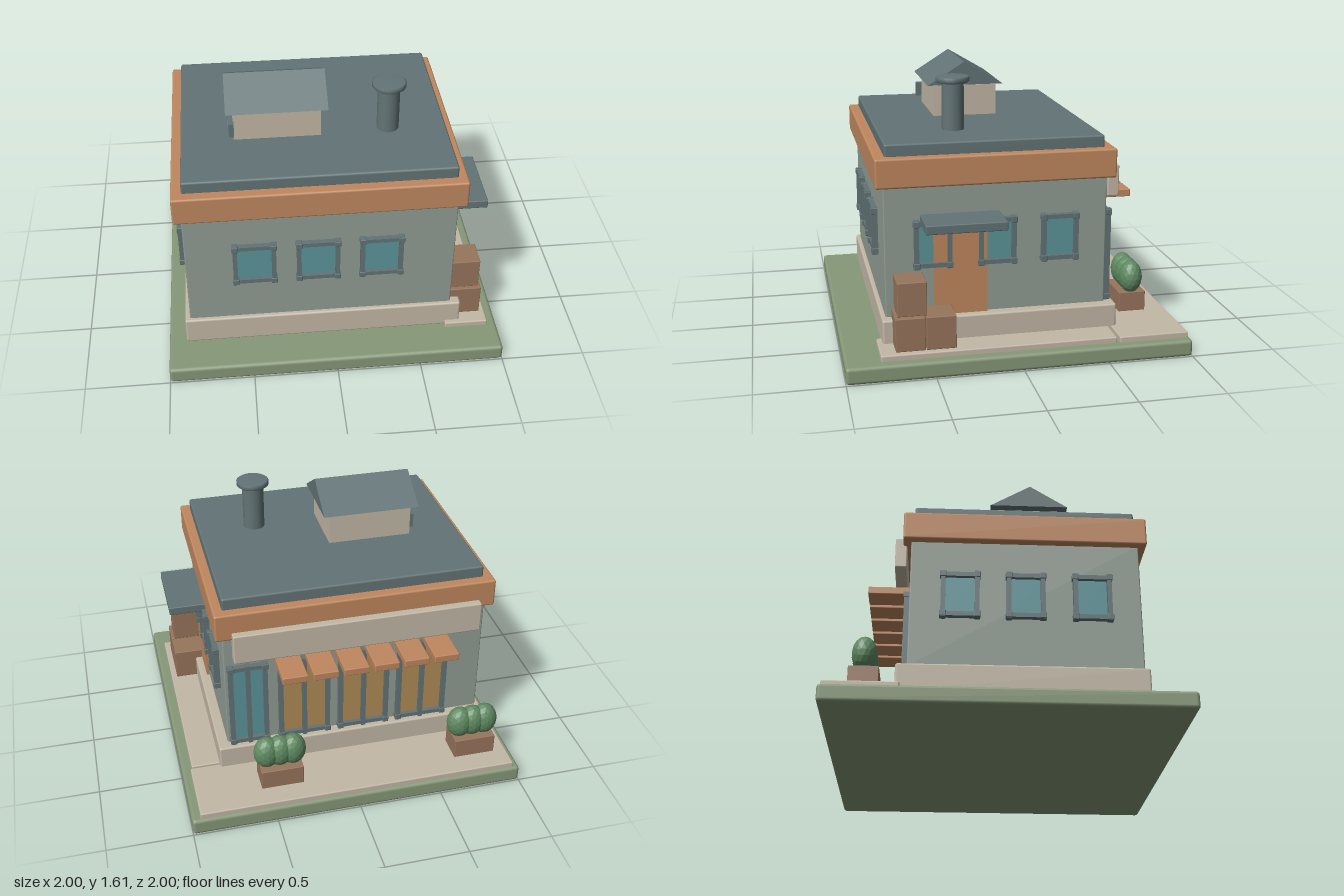
import * as THREE from 'three';
import { RoundedBoxGeometry } from 'three/addons/geometries/RoundedBoxGeometry.js';

const mat = (name, color, flatShading = false) => {
  const m = new THREE.MeshStandardMaterial({ color, flatShading });
  m.name = name;
  return m;
};

export function createModel() {
  const model = new THREE.Group();
  model.name = 'shop';
  const lawn = mat('lawnGreen', 0x869878);
  const wall = mat('wallSage', 0x919d93);
  const slate = mat('slate', 0x637476);
  const terracotta = mat('terracotta', 0xbf885f);
  const stone = mat('paleStone', 0xc3b8a6);
  const glass = mat('glassTeal', 0x5c959b);
  const amber = mat('amberPane', 0xb18b56);
  const wood = mat('woodBrown', 0x97755c);
  const leaf = mat('leafGreen', 0x5f8a62, true);

  const add = (name, geometry, material, parent = model) => {
    const mesh = new THREE.Mesh(geometry, material);
    mesh.name = name;
    parent.add(mesh);
    return mesh;
  };
  // Box from its two extreme corners, with optional rounded edges
  const block = (name, material, [x0, x1], [y0, y1], [z0, z1], r = 0, parent = model) => {
    const size = [x1 - x0, y1 - y0, z1 - z0];
    const geo = r ? new RoundedBoxGeometry(...size, 2, r) : new THREE.BoxGeometry(...size);
    const mesh = add(name, geo, material, parent);
    mesh.position.set((x0 + x1) / 2, (y0 + y1) / 2, (z0 + z1) / 2);
    return mesh;
  };

  // Ground and paving
  block('lawn', lawn, [-1, 1], [0, 0.1], [-1, 1], 0.02);
  block('backPaving', stone, [-0.96, 0.95], [0.09, 0.135], [-0.985, -0.575], 0.008);
  block('sidePaving', stone, [0.68, 0.94], [0.09, 0.133], [-0.56, 0.8], 0.008);

  // Main building
  block('plinth', stone, [-0.895, 0.77], [0.1, 0.27], [-0.605, 0.77], 0.012);
  block('walls', wall, [-0.865, 0.71], [0.26, 1.05], [-0.545, 0.745], 0.008);
  block('cornice', terracotta, [-0.91, 0.755], [1.03, 1.2], [-0.59, 0.79], 0.012);
  block('flatRoof', slate, [-0.85, 0.7], [1.19, 1.27], [-0.53, 0.73], 0.012);

  // Framed window facing +z, with bars that overlap at the corners
  const windowUnit = (name, w, h, pane, mullion, depth = 0.04) => {
    const unit = new THREE.Group();
    unit.name = name;
    const bar = 0.026;
    block('pane', pane, [-w / 2 + 0.015, w / 2 - 0.015], [-h / 2 + 0.015, h / 2 - 0.015], [0, 0.009], 0, unit);
    const posts = mullion ? [-1, 0, 1] : [-1, 1];
    for (const s of posts) {
      const x = s * (w / 2 - 0.018);
      block('post', slate, [x - bar / 2, x + bar / 2], [-h / 2, h / 2], [-0.005, depth - 0.004], 0, unit);
    }
    for (const s of [-1, 1]) {
      const y = s * (h / 2 - 0.02);
      block('rail', slate, [-w / 2 + 0.01, w / 2 - 0.01], [y - bar / 2, y + bar / 2], [-0.005, depth - 0.008], 0, unit);
      for (const t of [-1, 1]) {
        const x = t * (w / 2 - 0.018);
        block('cornerBlock', slate, [x - 0.018, x + 0.018], [y - 0.018, y + 0.018], [-0.005, depth], 0.004, unit);
      }
    }
    model.add(unit);
    return unit;
  };

  // Front and side windows
  for (const x of [-0.465, -0.095, 0.275])
    windowUnit('frontWindow', 0.26, 0.285, glass, false).position.set(x, 0.687, 0.745);
  for (const z of [0.47, 0.1, -0.265]) {
    for (const s of [-1, 1]) {
      const unit = windowUnit(s > 0 ? 'leftWindow' : 'rightWindow', 0.225, 0.285, glass, false);
      unit.position.set(s > 0 ? 0.71 : -0.865, 0.693, z);
      unit.rotation.y = s * Math.PI / 2;
    }
  }

  // Shopfront glazing
  const shopfront = [[0.575, 0.24, glass], [0.24, 0.32, amber], [-0.125, 0.32, amber], [-0.49, 0.32, amber]];
  for (const [x, w, pane] of shopfront) {
    const unit = windowUnit('shopWindow', w, 0.56, pane, true, 0.042);
    unit.position.set(x, 0.55, -0.545);
    unit.rotation.y = Math.PI;
  }

  // Awning panels and sign board
  for (let i = 0; i < 6; i++) {
    const x = -0.56 + i * 0.18;
    block('awningPanel', terracotta, [x - 0.074, x + 0.074], [0.817, 0.862], [-0.79, -0.545], 0.005);
  }
  block('signBoard', stone, [-0.815, 0.66], [0.895, 1.08], [-0.635, -0.567], 0.008);

  // Side door and canopy
  block('sideDoor', terracotta, [0.7, 0.728], [0.26, 0.785], [0.16, 0.468]);
  block('doorCanopy', slate, [0.7, 0.94], [0.813, 0.865], [0.085, 0.54], 0.006);

  // Stacked crates
  block('crate', wood, [0.712, 0.905], [0.133, 0.327], [0.545, 0.713], 0.004);
  block('crate', wood, [0.72, 0.905], [0.133, 0.327], [0.37, 0.539], 0.004);
  block('topCrate', wood, [0.712, 0.887], [0.333, 0.53], [0.532, 0.698], 0.004);

  // Planters with shrubs
  for (const x of [-0.755, 0.438]) {
    block('planter', wood, [x - 0.126, x + 0.126], [0.13, 0.255], [-0.855, -0.69], 0.004);
    for (const dx of [-0.078, 0, 0.078]) {
      const shrub = add('shrub', new THREE.IcosahedronGeometry(1, 2), leaf);
      shrub.scale.set(0.079, 0.102, 0.07);
      shrub.position.set(x + dx, 0.34, -0.773);
    }
  }

  // Rooftop hut with gabled roof
  block('hutWalls', stone, [-0.545, -0.04], [1.26, 1.457], [-0.05, 0.34]);
  const gable = new THREE.Shape([
    new THREE.Vector2(-0.38, 1.465), new THREE.Vector2(0.085, 1.465), new THREE.Vector2(-0.155, 1.606),
  ]);
  const hutRoof = add('hutRoof', new THREE.ExtrudeGeometry(gable, { depth: 0.585, bevelEnabled: false }), slate);
  hutRoof.rotation.y = Math.PI / 2;
  hutRoof.position.x = -0.585;
  for (const z of [0.01, 0.168, 0.325]) {
    block('hutWindowFrame', slate, [-0.57, -0.54], [1.31, 1.397], [z - 0.05, z + 0.05]);
    block('hutWindowPane', glass, [-0.573, -0.569], [1.328, 1.379], [z - 0.03, z + 0.03]);
  }

  // Chimney
  const flue = add('chimneyFlue', new THREE.CylinderGeometry(0.065, 0.065, 0.29, 24), slate);
  flue.position.set(0.357, 1.405, 0.288);
  const cap = add('chimneyCap', new THREE.LatheGeometry([
    [0, 0], [0.088, 0], [0.098, 0.008], [0.098, 0.03], [0.09, 0.036], [0, 0.036],
  ].map(([r, y]) => new THREE.Vector2(r, y)), 24), slate);
  cap.position.set(0.357, 1.545, 0.288);

  return model;
}
